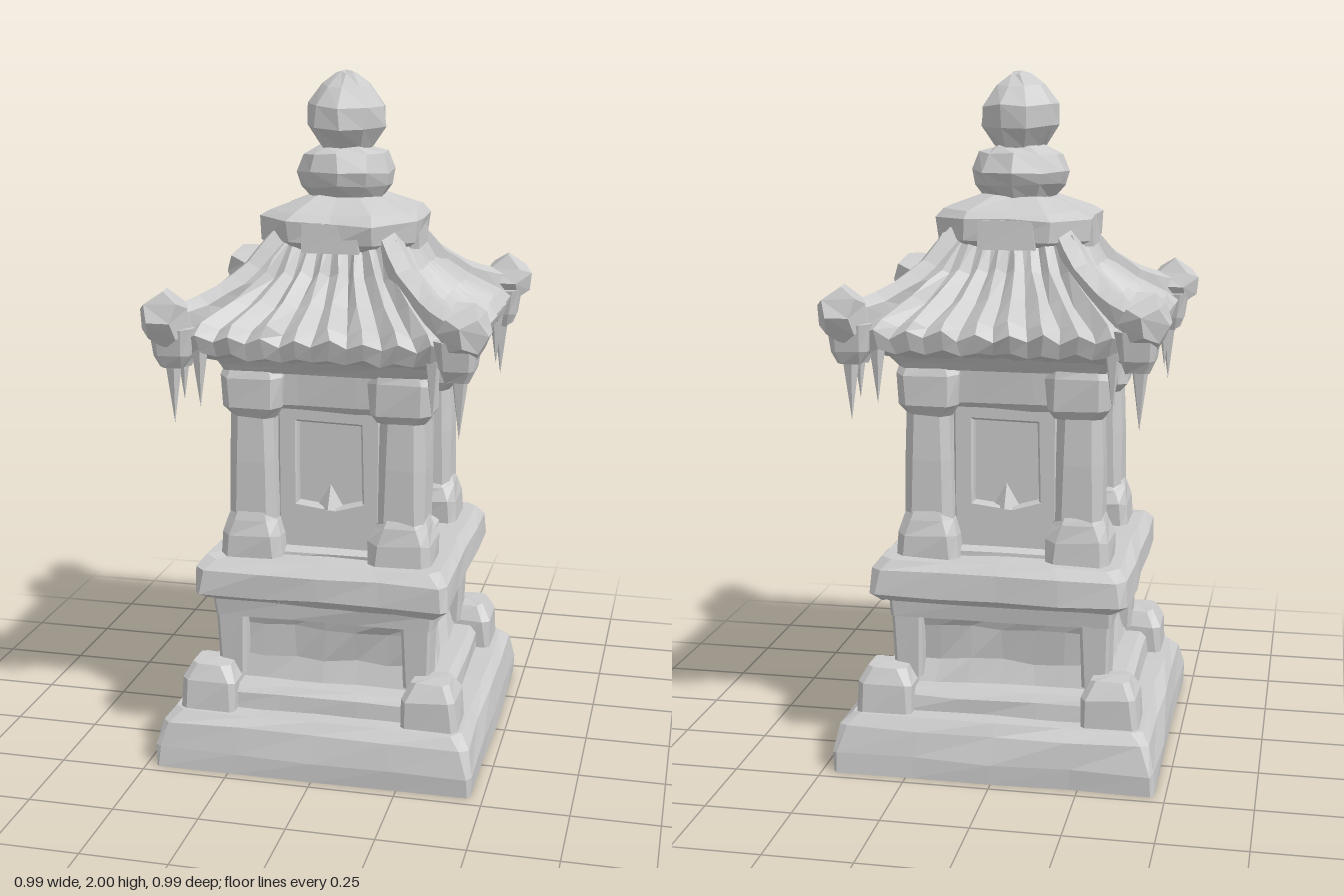
import * as THREE from 'three';

const stone = new THREE.MeshStandardMaterial({ color: 0xcccccc, flatShading: true });
stone.name = 'stone';

// repeatable pseudo-random value from a position, so coincident corners move together
function hash(x, y, z, k) {
  const r = (v) => Math.round(v * 500);
  const s = Math.sin(r(x) * 12.99 + r(y) * 78.23 + r(z) * 37.72 + k * 11.13) * 43758.55;
  return (s - Math.floor(s)) * 2 - 1;
}

// hewn-stone irregularity
function roughen(geo, amount) {
  const p = geo.attributes.position;
  for (let i = 0; i < p.count; i++) {
    const x = p.getX(i), y = p.getY(i), z = p.getZ(i);
    p.setXYZ(i, x + amount * hash(x, y, z, 1), y < 0.002 ? y : y + amount * hash(x, y, z, 2), z + amount * hash(x, y, z, 3));
  }
  geo.computeVertexNormals();
  return geo;
}

// stacked chamfered squares; each level is [y, half width, chamfer, ripple]
function loft(levels, segs = 1, rough = 0.005) {
  const pos = [], idx = [], n = 4 * (segs + 1);
  for (const [y, h, c = 0, ripple = 0] of levels) {
    for (let side = 0; side < 4; side++) {
      for (let i = 0; i <= segs; i++) {
        const crest = i % 2 ? -ripple : ripple;
        let x = (h - c) * (2 * i / segs - 1), z = h + (i > 0 && i < segs ? crest * 0.6 : 0);
        for (let k = 0; k < side; k++) [x, z] = [z, -x];
        pos.push(x, y + crest, z);
      }
    }
  }
  for (let l = 0; l < levels.length - 1; l++) {
    for (let j = 0; j < n; j++) {
      const a = l * n + j, b = l * n + (j + 1) % n;
      idx.push(a, b, b + n, a, b + n, a + n);
    }
  }
  const bottom = pos.length / 3, top = bottom + 1, last = (levels.length - 1) * n;
  pos.push(0, levels[0][0], 0, 0, levels[levels.length - 1][0], 0);
  for (let j = 0; j < n; j++) {
    const k = (j + 1) % n;
    idx.push(bottom, k, j, top, last + j, last + k);
  }
  const geo = new THREE.BufferGeometry();
  geo.setAttribute('position', new THREE.Float32BufferAttribute(pos, 3));
  geo.setIndex(idx);
  return roughen(geo, rough);
}

export function createModel() {
  const model = new THREE.Group();
  model.name = 'stoneLantern';
  const add = (name, geo, parent = model, x = 0, y = 0, z = 0) => {
    const m = new THREE.Mesh(geo, stone);
    m.name = name;
    m.position.set(x, y, z);
    parent.add(m);
    return m;
  };

  // foot and pedestal
  add('baseSlab', loft([[0, 0.468, 0.01], [0.06, 0.468, 0.015], [0.135, 0.45, 0.02], [0.165, 0.425, 0.03]], 4));
  add('baseStep', loft([[0.15, 0.37, 0.02], [0.215, 0.365, 0.02], [0.235, 0.345, 0.02]], 3));
  add('pedestal', loft([[0.22, 0.3], [0.3, 0.275], [0.4, 0.282], [0.45, 0.3]], 6, 0.007));
  add('pedestalCornice', loft([[0.435, 0.325, 0.01], [0.485, 0.33, 0.01], [0.5, 0.35, 0.01]], 3, 0.003));
  add('middleSlab', loft([[0.49, 0.35, 0.02], [0.515, 0.377, 0.02], [0.585, 0.372, 0.025], [0.615, 0.345, 0.03]], 4));

  // lantern chamber
  add('chamberCore', loft([[0.6, 0.205], [1.18, 0.205]], 1, 0));
  add('chamberSill', loft([[0.6, 0.262], [0.625, 0.262], [0.64, 0.235]], 2, 0.003));
  add('chamberBeam', loft([[1.045, 0.235], [1.065, 0.255], [1.165, 0.258], [1.18, 0.25]], 3, 0.004));
  add('roofPlate', loft([[1.165, 0.295, 0.02], [1.19, 0.31, 0.02], [1.225, 0.34, 0.02]], 3, 0.003));

  // window frames on the four sides
  const frame = new THREE.Shape([[-0.145, 0.61], [0.145, 0.61], [0.145, 1.06], [-0.145, 1.06]].map(([x, y]) => new THREE.Vector2(x, y)));
  frame.holes.push(new THREE.Path([[-0.1, 0.765], [-0.1, 1.02], [0.1, 1.015], [0.105, 0.775], [0.02, 0.75]].map(([x, y]) => new THREE.Vector2(x, y))));
  const frameGeo = new THREE.ExtrudeGeometry(frame, { depth: 0.035, bevelEnabled: true, bevelSize: 0.006, bevelThickness: 0.006, bevelSegments: 1 });
  for (let s = 0; s < 4; s++) {
    const side = new THREE.Group();
    side.name = 'windowSide';
    side.rotation.y = s * Math.PI / 2;
    model.add(side);
    add('windowFrame', frameGeo, side, 0, 0, 0.198);
    add('windowChip', new THREE.ConeGeometry(0.04, 0.07, 4), side, 0, 0.79, 0.213);
    // raised plaque under the roof cap
    add('capPlaque', roughen(new THREE.BoxGeometry(0.16, 0.085, 0.05), 0.006), side, 0, 1.545, 0.2);
  }

  // roof: flared eaves with rippled tiles, and the cap
  add('tiledRoof', loft([
    [1.2, 0.3], [1.235, 0.415, 0, 0.006], [1.285, 0.43, 0, 0.012], [1.315, 0.405, 0, 0.012],
    [1.37, 0.315, 0, 0.011], [1.44, 0.235, 0, 0.009], [1.54, 0.185, 0, 0.005],
  ], 18, 0.005));
  add('roofCap', loft([[1.49, 0.17, 0.07], [1.525, 0.222, 0.1], [1.585, 0.225, 0.1], [1.605, 0.2, 0.09], [1.645, 0.11, 0.05]], 2, 0.006));

  // corners: pedestal blocks, columns, roof ridges and icicles
  const footBlock = loft([[0.15, 0.083, 0.015], [0.25, 0.08, 0.02], [0.295, 0.055, 0.02]], 1);
  const post = loft([[0.25, 0.04, 0.01], [0.45, 0.046, 0.01]], 1, 0.003);
  const columnBase = loft([[0.6, 0.09, 0.02], [0.68, 0.09, 0.025], [0.725, 0.078, 0.03], [0.745, 0.068, 0.03]], 1);
  const column = loft([[0.72, 0.07, 0.025], [0.9, 0.067, 0.025], [1.05, 0.062, 0.025]], 1, 0.003);
  const capital = loft([[1.03, 0.066, 0.025], [1.06, 0.087, 0.025], [1.15, 0.09, 0.025], [1.18, 0.08, 0.025]], 1, 0.004);
  const ridgePath = new THREE.CatmullRomCurve3([[0.15, 1.53], [0.22, 1.435], [0.3, 1.37], [0.36, 1.34], [0.425, 1.33]]
    .map(([d, y]) => new THREE.Vector3(d, y, d)));
  const ridge = roughen(new THREE.TubeGeometry(ridgePath, 7, 0.046, 6), 0.004);
  const knob = roughen(new THREE.DodecahedronGeometry(0.076).scale(1, 1.1, 1), 0.007);
  const bracket = loft([[1.2, 0.035, 0.01], [1.235, 0.05, 0.015], [1.31, 0.06, 0.02]], 1);
  const icicles = [[0.405, 0.405, 1.035, 0.03], [0.33, 0.4, 1.085, 0.024], [0.4, 0.33, 1.085, 0.024]];
  for (let c = 0; c < 4; c++) {
    const corner = new THREE.Group();
    corner.name = 'corner';
    corner.rotation.y = c * Math.PI / 2;
    model.add(corner);
    add('footBlock', footBlock, corner, 0.328, 0, 0.328);
    add('pedestalPost', post, corner, 0.277, 0, 0.277);
    add('columnBase', columnBase, corner, 0.22, 0, 0.22);
    add('column', column, corner, 0.22, 0, 0.22);
    add('capital', capital, corner, 0.216, 0, 0.216);
    add('roofRidge', ridge, corner);
    add('ridgeKnob', knob, corner, 0.42, 1.335, 0.42);
    add('eaveBracket', bracket, corner, 0.4, 0, 0.4);
    for (const [x, z, tip, r] of icicles) {
      const h = 1.25 - tip;
      add('icicle', new THREE.ConeGeometry(r, h, 5).rotateX(Math.PI), corner, x, tip + h / 2, z);
    }
  }

  // finial: ring and pointed bulb
  const turned = (pts, segs, rough) => roughen(new THREE.LatheGeometry(pts.map(([r, y]) => new THREE.Vector2(r, y)), segs), rough);
  add('finialRing', turned([[0, 1.61], [0.1, 1.63], [0.135, 1.675], [0.145, 1.715], [0.125, 1.765], [0.08, 1.785], [0, 1.79]], 10, 0.006));
  add('finialBulb', turned([[0, 1.76], [0.08, 1.785], [0.115, 1.84], [0.118, 1.9], [0.075, 1.955], [0.025, 1.99], [0, 1.998]], 9, 0.006));
  return model;
}
